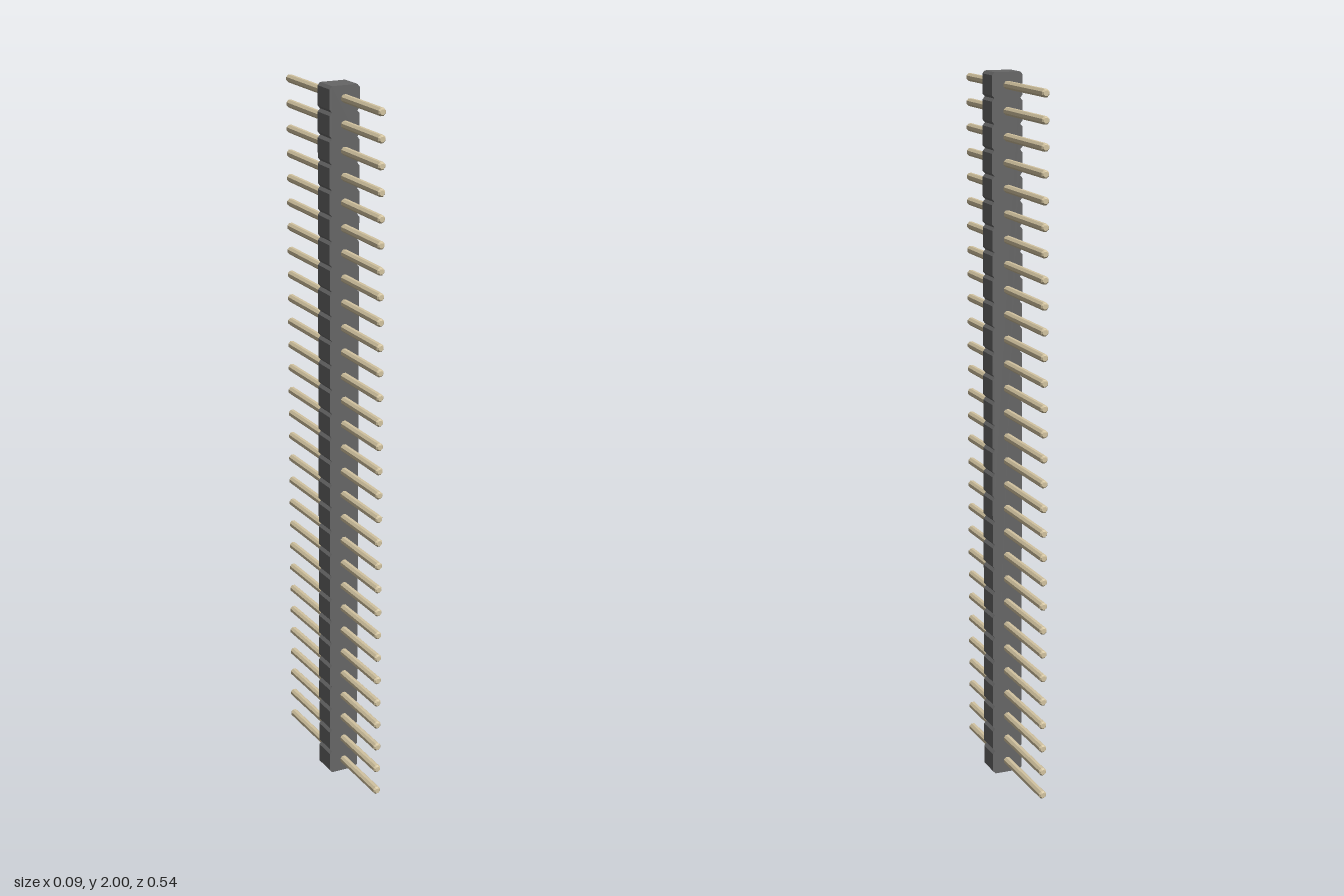
import * as THREE from 'three';

const COUNT = 29;
const PITCH = 2 / COUNT;

// Notched outline: one chamfered cell per pin, joined into a single strip
function housingShape() {
  const half = 0.044, neck = 0.037, chamfer = 0.008;
  const right = [];
  for (let i = 0; i < COUNT; i++) {
    const y0 = i * PITCH, y1 = y0 + PITCH;
    right.push([half, y0 + chamfer], [half, y1 - chamfer], [neck, y1]);
  }
  right.unshift([neck, 0]);
  const left = right.map(([x, y]) => [-x, y]).reverse();
  return new THREE.Shape([...right, ...left].map(([x, y]) => new THREE.Vector2(x, y)));
}

// Eight-sided pin with bevelled tips, lying along z
function pinGeometry() {
  const r = 0.0114, tip = 0.0075, end = 0.269, bevel = 0.005;
  const profile = [
    [0, -end], [tip, -end], [r, -end + bevel],
    [r, end - bevel], [tip, end], [0, end],
  ].map(([x, y]) => new THREE.Vector2(x, y));
  return new THREE.LatheGeometry(profile, 8).rotateY(Math.PI / 8).rotateX(Math.PI / 2);
}

export function createModel() {
  const model = new THREE.Group();
  model.name = 'pinHeader';
  const plastic = new THREE.MeshStandardMaterial({ color: 0x666666, flatShading: true });
  const metal = new THREE.MeshStandardMaterial({ color: 0xd2c3a0, flatShading: true });

  // Plastic strip, set slightly forward of the pin centres
  const housing = new THREE.Mesh(
    new THREE.ExtrudeGeometry(housingShape(), { depth: 0.069, bevelEnabled: false }), plastic);
  housing.name = 'housing';
  housing.position.z = -0.008;
  model.add(housing);

  // Row of pins through the middle of each cell
  const pins = new THREE.Group();
  pins.name = 'pins';
  const geometry = pinGeometry();
  for (let i = 0; i < COUNT; i++) {
    const pin = new THREE.Mesh(geometry, metal);
    pin.name = `pin${i + 1}`;
    pin.position.y = (i + 0.5) * PITCH;
    pins.add(pin);
  }
  model.add(pins);
  return model;
}
